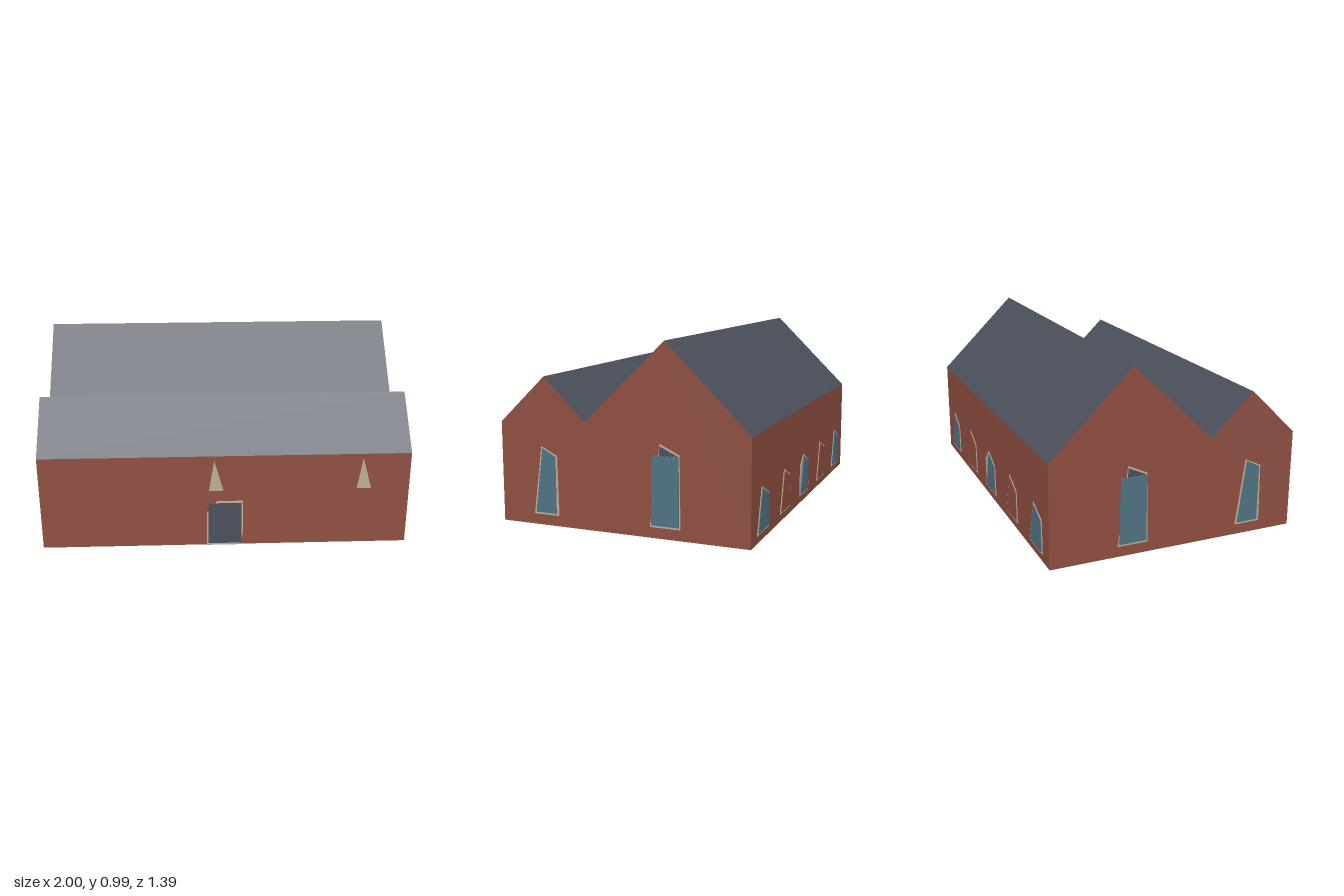
import * as THREE from 'three';

const material = (name, color, side = THREE.FrontSide) => {
  const m = new THREE.MeshStandardMaterial({ color, side });
  m.name = name;
  return m;
};

export function createModel() {
  const brick = material('brick', 0x8f4f41, THREE.DoubleSide);
  const slate = material('slate', 0x4b505c, THREE.DoubleSide);
  const glass = material('glass', 0x4f7382);
  const stone = material('stone', 0xbcae96);

  const house = new THREE.Group();
  house.name = 'house';
  const X = 0.993, FRONT = 0.688, BACK = -0.69;

  const add = (parent, geometry, mat, name) => {
    const mesh = new THREE.Mesh(geometry, mat);
    mesh.name = name;
    parent.add(mesh);
    return mesh;
  };
  const shapeOf = pts => new THREE.Shape(pts.map(p => new THREE.Vector2(...p)));

  // Thin flat panel laid on a wall; depth is its height above the wall
  const plate = (parent, pts, depth, mat, name) =>
    add(parent, new THREE.ExtrudeGeometry(shapeOf(pts), { depth, bevelEnabled: false }), mat, name);

  // Long strip running the whole length between two (z, y) profile points
  const strip = ([z0, y0], [z1, y1], mat, name) => {
    const g = new THREE.BufferGeometry();
    g.setAttribute('position', new THREE.Float32BufferAttribute(
      [-X, y0, z0, X, y0, z0, X, y1, z1, -X, y1, z1], 3));
    g.setIndex([0, 1, 2, 0, 2, 3]);
    g.computeVertexNormals();
    add(house, g, mat, name);
  };

  // Double gable section, from the front eave to the back eave
  const profile = [[FRONT, 0.535], [0.428, 0.784], [0.197, 0.56], [-0.245, 0.988], [BACK, 0.55]];
  const roofNames = ['frontRoofOuter', 'frontRoofInner', 'backRoofInner', 'backRoofOuter'];
  roofNames.forEach((name, i) => strip(profile[i], profile[i + 1], slate, name));

  // Walls, open underneath
  strip([FRONT, 0], profile[0], brick, 'frontWall');
  strip(profile[4], [BACK, 0], brick, 'backWall');
  const gable = [[FRONT, 0], ...profile, [BACK, 0]].map(([z, y]) => [-z, y]);
  for (const side of [1, -1]) {
    const wall = add(house, new THREE.ShapeGeometry(shapeOf(gable.map(([u, y]) => [u * side, y]))),
      brick, side > 0 ? 'leftGableWall' : 'rightGableWall');
    wall.rotation.y = side * Math.PI / 2;
    wall.position.x = side * X;
  }

  // Local frame on a wall: x to the viewer's right, z outwards
  const mount = (name, x, z, turn) => {
    const g = new THREE.Group();
    g.name = name;
    g.position.set(x, 0, z);
    g.rotation.y = turn;
    house.add(g);
    return g;
  };

  // Gable windows, centred below each ridge
  for (const side of [1, -1]) {
    const turn = side * Math.PI / 2;
    const small = mount('smallGableWindow', side * X, 0.426, turn);
    plate(small, [[-0.073, 0.057], [-0.024, 0.418], [0.067, 0.374], [0.073, 0.057]], 0.004, stone, 'windowFrame');
    plate(small, [[-0.062, 0.067], [-0.017, 0.41], [0.059, 0.37], [0.059, 0.067]], 0.006, glass, 'windowPane');

    const large = mount('largeGableWindow', side * X, -0.245, turn);
    plate(large, [[-0.082, 0.057], [-0.027, 0.482], [0.078, 0.432], [0.082, 0.057]], 0.004, stone, 'windowFrame');
    plate(large, [[-0.075, 0.067], [-0.066, 0.422], [0.075, 0.422], [0.075, 0.067]], 0.007, glass, 'windowPane');
    plate(large, [[-0.03, 0.422], [-0.026, 0.471], [0.073, 0.424]], 0.006, slate, 'windowHead');
  }

  // Back windows: glazed and bricked-up in turn, the middle one with a wider frame
  for (let i = -2; i <= 2; i++) {
    const w = mount('backWindow', i * 0.4, BACK, Math.PI);
    const blind = i % 2 !== 0;
    const frame = [[-0.096, 0.04], [-0.03, 0.275], [0.09, 0.222], [0.096, 0.04]];
    if (i === 0) frame.splice(1, 0, [-0.096, 0.215]);
    plate(w, frame, 0.003, stone, 'windowFrame');
    plate(w, [[-0.085, 0.048], [-0.026, 0.264], [0.082, 0.216], [0.086, 0.048]], 0.005,
      blind ? brick : glass, blind ? 'brickInfill' : 'windowPane');
  }

  // Front door and the two narrow pointed lights
  const door = mount('frontDoor', 0, FRONT, 0);
  plate(door, [[-0.1, 0], [-0.1, 0.2], [-0.045, 0.268], [0.095, 0.268], [0.097, 0.08], [0.085, 0]],
    0.006, stone, 'doorFrame');
  plate(door, [[-0.092, 0.012], [-0.092, 0.258], [0.088, 0.258], [0.088, 0.012]], 0.008, slate, 'doorLeaf');
  for (const x of [-0.06, 0.736]) {
    const light = mount('pointedLight', x, FRONT, 0);
    plate(light, [[-0.028, 0.332], [0, 0.51], [0.05, 0.332]], 0.003, stone, 'pointedPanel');
  }
  return house;
}
